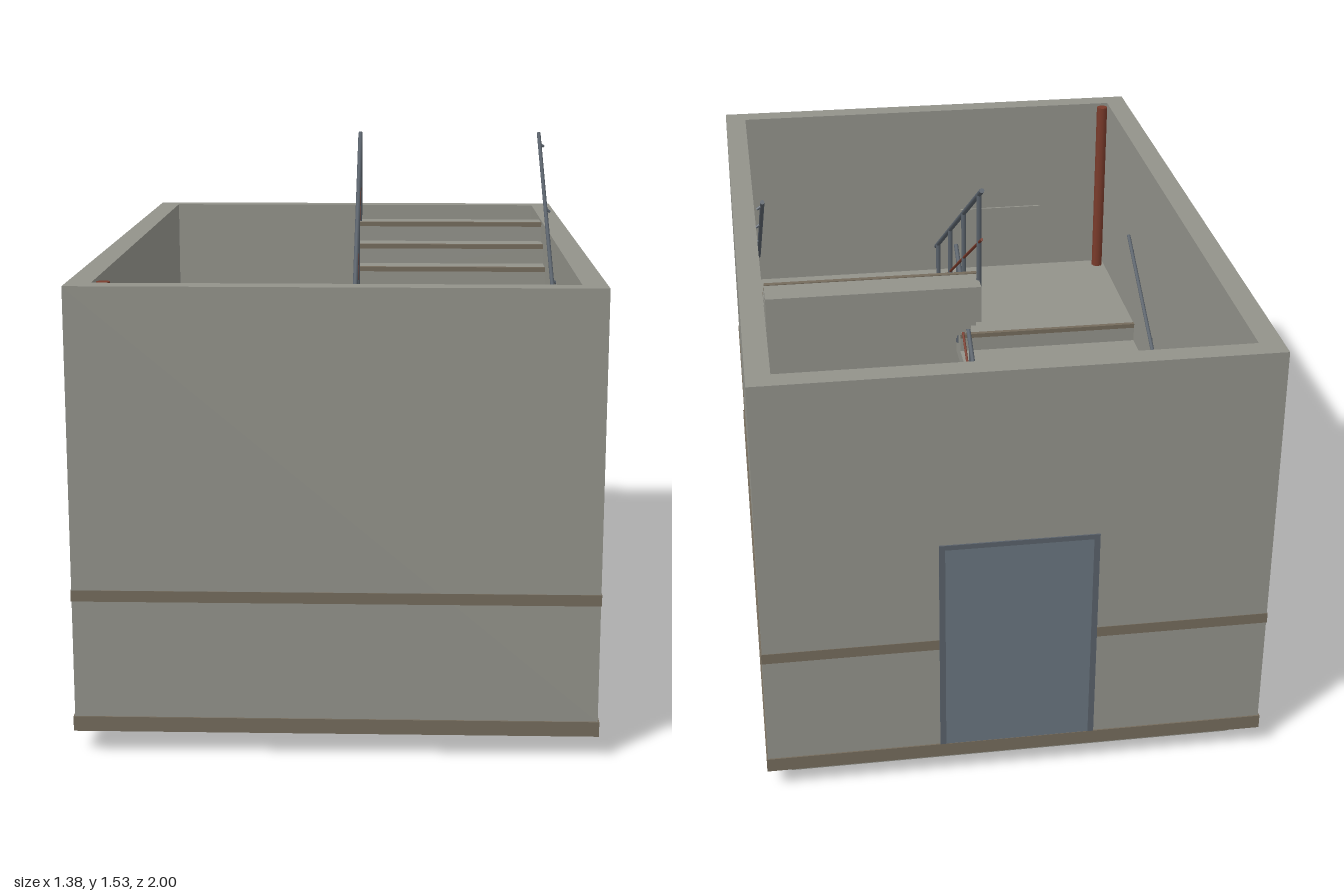
import * as THREE from 'three';

const mat = (name, color) => {
  const m = new THREE.MeshStandardMaterial({ color });
  m.name = name;
  return m;
};

export function createModel() {
  const concrete = mat('concrete', 0x92928a);
  const brown = mat('brown trim', 0x746b5c);
  const steel = mat('rail steel', 0x59616a);
  const doorBlue = mat('door blue grey', 0x69747f);
  const rust = mat('rust red', 0x7a3b2b);
  const model = new THREE.Group();
  model.name = 'stairwell';

  const add = (name, geometry, material, parent = model) => {
    const mesh = new THREE.Mesh(geometry, material);
    mesh.name = name;
    parent.add(mesh);
    return mesh;
  };
  // Box given by its lower and upper limits on each axis
  const box = (name, material, x0, x1, y0, y1, z0, z1, parent) => {
    const mesh = add(name, new THREE.BoxGeometry(x1 - x0, y1 - y0, z1 - z0), material, parent);
    mesh.position.set((x0 + x1) / 2, (y0 + y1) / 2, (z0 + z1) / 2);
    return mesh;
  };
  // Rectangular ring around the plan
  const ring = (name, material, ox, oz, ix, iz, y0, y1) => {
    const rect = (C, x, z) => {
      const p = new C();
      p.moveTo(-x, -z).lineTo(x, -z).lineTo(x, z).lineTo(-x, z).closePath();
      return p;
    };
    const shape = rect(THREE.Shape, ox, oz);
    shape.holes.push(rect(THREE.Path, ix, iz));
    const g = new THREE.ExtrudeGeometry(shape, { depth: y1 - y0, bevelEnabled: false });
    g.rotateX(-Math.PI / 2);
    add(name, g, material).position.y = y0;
  };
  const bar = (name, material, a, b, r, parent) => {
    const p = new THREE.Vector3(...a), q = new THREE.Vector3(...b);
    const d = q.clone().sub(p);
    const mesh = add(name, new THREE.CylinderGeometry(r, r, d.length(), 8), material, parent);
    mesh.position.copy(p).add(q).multiplyScalar(0.5);
    mesh.quaternion.setFromUnitVectors(new THREE.Vector3(0, 1, 0), d.normalize());
  };

  // Shell: walls, floor slab and trim bands
  ring('walls', concrete, 0.684, 0.996, 0.62, 0.935, 0.1, 1.24);
  box('floorSlab', brown, -0.688, 0.688, 0.06, 0.1, -1, 1);
  ring('wallStripe', brown, 0.686, 0.9975, 0.68, 0.99, 0.415, 0.445);

  // Landings
  box('lowerLanding', concrete, -0.62, 0.62, 0, 0.0595, -0.93, -0.5);
  box('middleLanding', concrete, -0.62, 0.62, 0.55, 0.65, 0.5, 0.935);

  // Flights: dir +1 climbs towards +z, -1 climbs towards -z
  const rise = 0.059, run = 0.1;
  const flight = (name, x0, x1, base, dir, innerX, wallX) => {
    const g = new THREE.Group();
    g.name = name;
    model.add(g);
    for (let i = 0; i < 10; i++) {
      const front = dir * (-0.5 + run * i), back = front + dir * run;
      const top = base + rise * (i + 1);
      box('step', concrete, x0, x1, top - 0.105, top, Math.min(front, back), Math.max(front, back), g);
      const n0 = front - dir * 0.002, n1 = front + dir * 0.012;
      box('nosing', brown, x0, x1, top - 0.012, top + 0.002, Math.min(n0, n1), Math.max(n0, n1), g);
    }
    // Handrails follow the slope of the steps
    const railY = z => base + 0.575 + 0.295 + (dir * z - 0.5) * rise / run;
    const ends = [-0.5, 0.5];
    const slope = (label, m, x, drop, r) =>
      bar(label, m, [x, railY(ends[0]) - drop, ends[0]], [x, railY(ends[1]) - drop, ends[1]], r, g);
    slope('innerHandrail', steel, innerX, 0, 0.007);
    slope('innerMidRail', rust, innerX, 0.14, 0.004);
    slope('wallHandrail', steel, wallX, 0, 0.006);
    for (const z of [-0.45, -0.15, 0.15, 0.45]) {
      const stepTop = base + rise * (Math.floor((dir * z + 0.5) / run) + 1);
      bar('railPost', steel, [innerX, stepTop - 0.05, z], [innerX, railY(z), z], 0.007, g);
      bar('wallBracket', steel, [wallX, railY(z), z], [Math.sign(wallX) * 0.622, railY(z) - 0.01, z], 0.004, g);
    }
  };
  flight('lowerFlight', -0.62, -0.035, 0.06, 1, -0.035, -0.612);
  flight('upperFlight', 0.03, 0.615, 0.65, -1, 0.03, 0.608);

  // Back door with frame on the outside
  box('door', doorBlue, -0.2, 0.2, 0.1, 0.73, -0.9988, -0.99);
  for (const s of [-1, 1]) box('doorJamb', steel, s * 0.205 - 0.008, s * 0.205 + 0.008, 0.1, 0.74, -1, -0.99);
  box('doorLintel', steel, -0.213, 0.213, 0.728, 0.742, -1, -0.99);
  box('doorInside', doorBlue, -0.2, 0.2, 0.1, 0.73, -0.936, -0.933);

  // Wall fittings
  box('lampBody', doorBlue, -0.06, 0.06, 0.78, 0.83, -0.936, -0.91);
  box('lampBracket', steel, -0.17, -0.06, 0.79, 0.81, -0.936, -0.93);
  box('fireCabinet', rust, -0.62, -0.58, 0.3, 0.61, -0.8, -0.61);
  box('noticeBoard', concrete, -0.39, -0.11, 0.7, 0.875, 0.928, 0.936);
  box('wallPatch', brown, 0.617, 0.621, 0.79, 0.92, -0.22, -0.03);
  const panel = box('leaningPanel', rust, -0.068, -0.032, 0.1, 0.3, -0.91, -0.72);
  panel.rotation.y = 0.18;

  // Corner riser pipe
  bar('riserPipe', rust, [-0.595, 0.1, 0.9], [-0.595, 1.238, 0.9], 0.018);
  return model;
}
